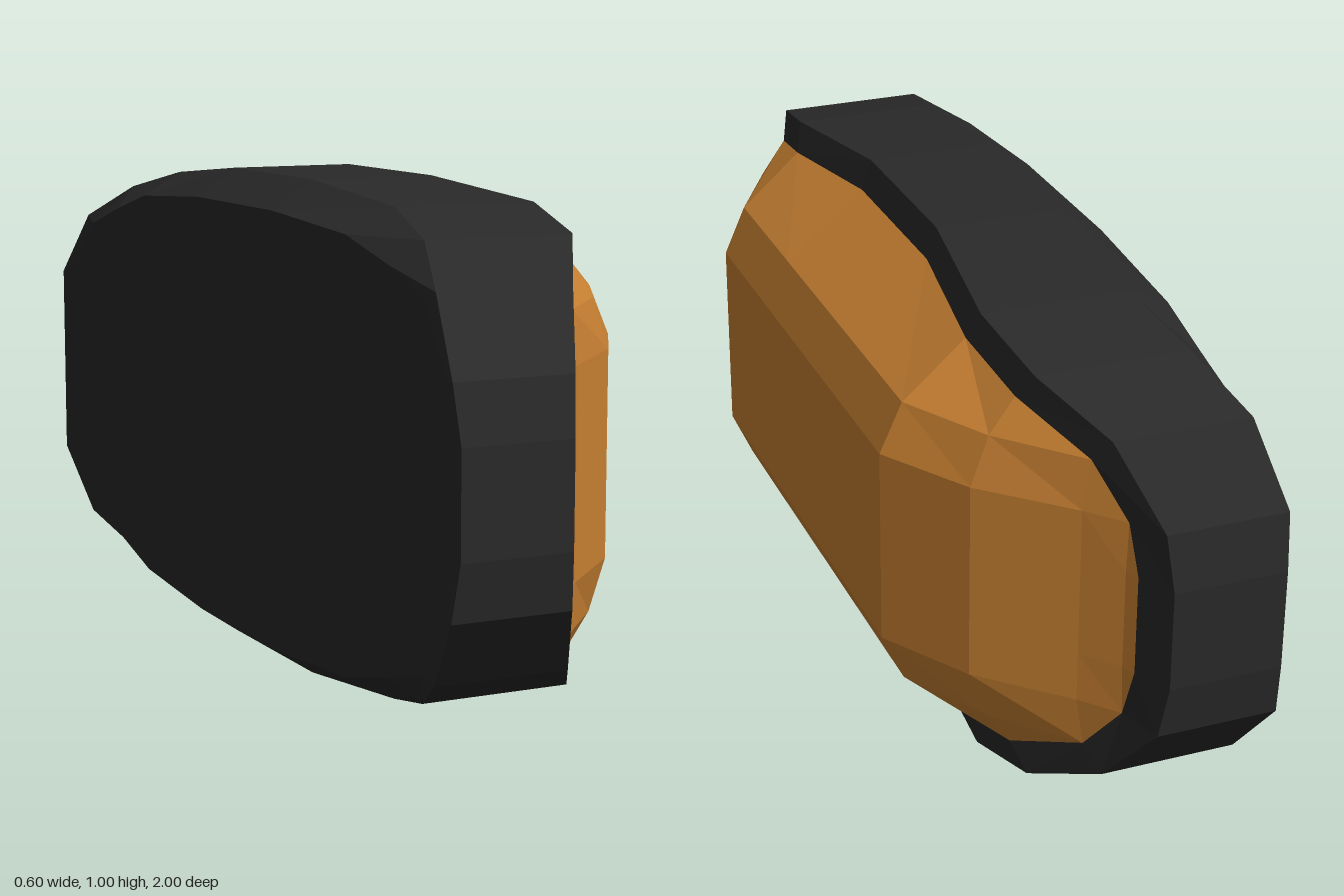
import * as THREE from 'three';

// Quarter outlines [z, y above the middle, x], from top centre round to the end
const BACK = [[0.19, 0.44, -0.28], [0.51, 0.42, -0.275], [0.68, 0.38, -0.272], [0.83, 0.335, -0.278], [0.965, 0.205, -0.3], [0.99, 0.1, -0.295]];
const OUTER_BACK = [[0.19, 0.498, -0.195], [0.53, 0.468, -0.182], [0.72, 0.425, -0.22], [0.87, 0.35, -0.275], [0.98, 0.21, -0.3], [1, 0.1, -0.293]];
const OUTER_FRONT = [[0.19, 0.498, 0.07], [0.53, 0.468, 0.112], [0.72, 0.425, 0.085], [0.87, 0.35, -0.002], [0.98, 0.21, -0.06], [1, 0.1, -0.07]];
const INNER_FRONT = [[0.19, 0.435, 0.09], [0.5, 0.41, 0.13], [0.68, 0.37, 0.105], [0.83, 0.3, 0.02], [0.9, 0.2, -0.025], [0.925, 0.1, -0.035]];

const point = ([z, h, x], sz = 1, sy = 1) => new THREE.Vector3(x, 0.5 + sy * h, sz * z);

// Mirror a quarter outline into a full loop
function ring(q) {
  const r = [...q].reverse();
  return [
    ...q.map(p => point(p)), ...r.map(p => point(p, 1, -1)),
    ...q.map(p => point(p, -1, -1)), ...r.map(p => point(p, -1, 1)),
  ];
}

// Skin between successive rows of points, skipping collapsed triangles
function loft(rows, closed) {
  const pos = [];
  const tri = (...t) => {
    if (new THREE.Triangle(...t).getArea() > 1e-7) t.forEach(p => pos.push(p.x, p.y, p.z));
  };
  for (let k = 0; k < rows.length - 1; k++) {
    const a = rows[k], b = rows[k + 1], n = a.length;
    for (let i = 0; i < (closed ? n : n - 1); i++) {
      const j = (i + 1) % n;
      tri(a[i], a[j], b[j]);
      tri(a[i], b[j], b[i]);
    }
  }
  const g = new THREE.BufferGeometry();
  g.setAttribute('position', new THREE.Float32BufferAttribute(pos, 3));
  g.computeVertexNormals();
  return g;
}

// Sections mirrored along z, running from the +z end to the -z end
const alongZ = (list, section) => [
  ...[...list].reverse().map(s => section(s, 1)), ...list.map(s => section(s, -1)),
];

export function createModel() {
  const model = new THREE.Group();
  const dark = new THREE.MeshStandardMaterial({ color: 0x292929, flatShading: true });
  const amber = new THREE.MeshStandardMaterial({ color: 0xcc8333, flatShading: true });
  const add = (name, geometry, material) => {
    const mesh = new THREE.Mesh(geometry, material);
    mesh.name = name;
    model.add(mesh);
  };

  // Housing: chamfered back edge, side wall and front rim
  add('housing', loft([BACK, OUTER_BACK, OUTER_FRONT, INNER_FRONT].map(ring), true), dark);

  // Back plate
  add('backPlate', loft(alongZ(BACK, (p, s) => [point(p, s, -1), point(p, s, 1)]), false), dark);

  // Lens: half sections of [height above middle, x], starting on the rim
  const lens = [
    { z: 0.19, half: [[0.435, 0.09], [0.3, 0.255], [0.2, 0.3], [0.1, 0.3]] },
    { z: 0.5, half: [[0.41, 0.13], [0.3, 0.255], [0.2, 0.3], [0.1, 0.3]] },
    { z: 0.68, half: [[0.37, 0.105], [0.3, 0.155], [0.2, 0.19], [0.1, 0.19]] },
    { z: 0.83, half: [[0.3, 0.02], [0.3, 0.02], [0.2, 0.035], [0.1, 0.035]] },
    { z: 0.9, half: [[0.2, -0.025], [0.2, -0.025], [0.2, -0.025], [0.1, -0.022]] },
    { z: 0.925, half: [[0.1, -0.035], [0.1, -0.035], [0.1, -0.035], [0.1, -0.035]] },
  ];
  const section = ({ z, half }, s) => [
    ...half.map(([h, x]) => point([z, h, x], s, 1)),
    ...[...half].reverse().map(([h, x]) => point([z, h, x], s, -1)),
  ];
  add('lens', loft(alongZ(lens, section), false), amber);

  return model;
}
